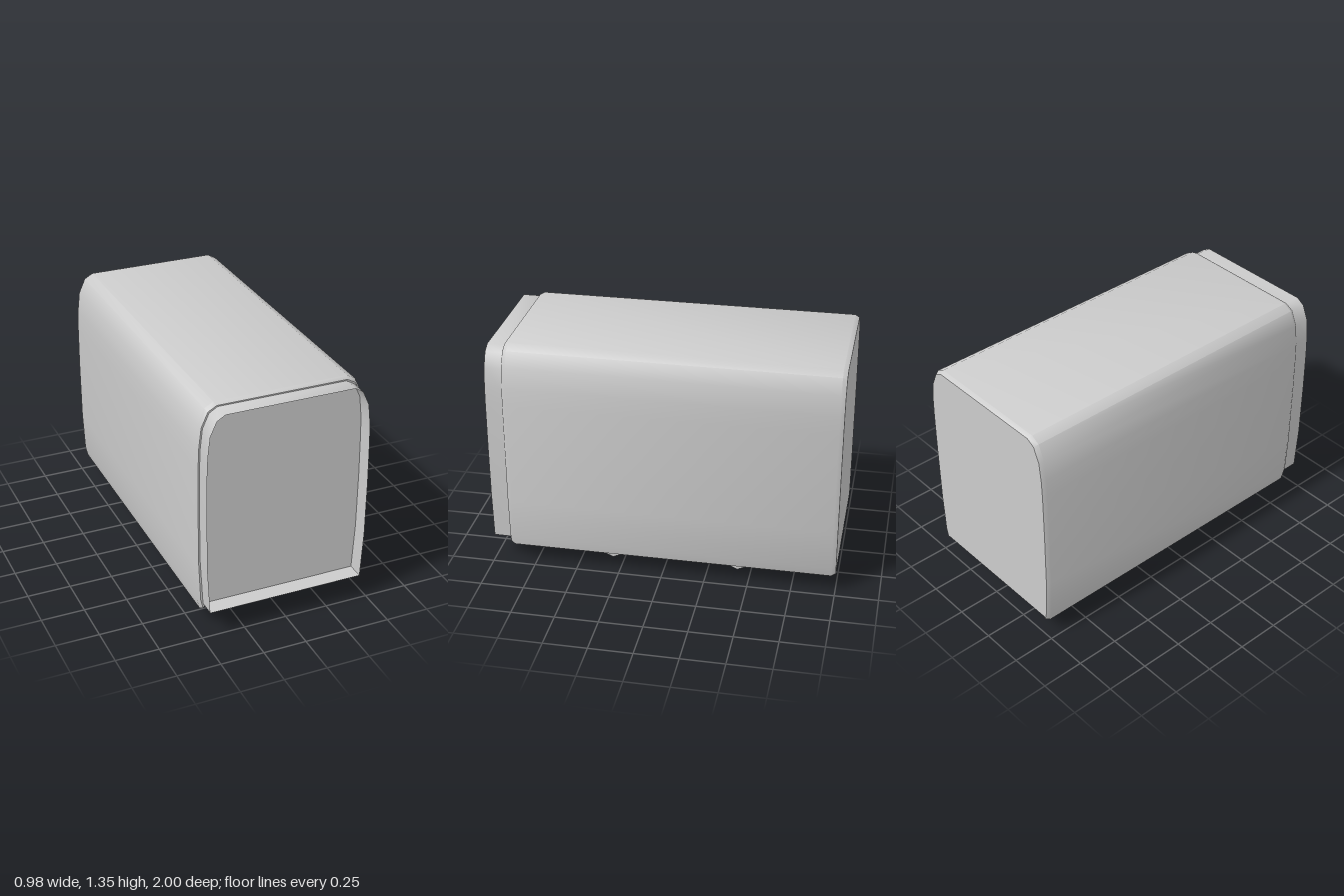
import * as THREE from 'three';
import { toCreasedNormals } from 'three/addons/utils/BufferGeometryUtils.js';

// Right half of the body cross-section, from bottom to roof
const HALF = [
  [0.453, 0.118], [0.464, 0.107], [0.478, 0.165], [0.489, 0.405], [0.491, 0.76],
  [0.489, 1.014], [0.485, 1.122], [0.471, 1.24], [0.432, 1.326], [0.382, 1.354],
];
// Right half of the gangway collar
const COLLAR = [
  [0.453, 0.15], [0.468, 0.42], [0.471, 0.75], [0.469, 1.0], [0.465, 1.11],
  [0.452, 1.225], [0.415, 1.307], [0.368, 1.335],
];

// Close a half section by mirroring it
const mirror = (half) => [...half, ...half.slice().reverse().map(([x, y]) => [-x, y])];

// Shrink a section towards its middle
const inset = (section, d) =>
  section.map(([x, y]) => [x * (1 - d / 0.491), 0.73 + (y - 0.73) * (1 - d / 0.624)]);

// Skin over closed sections running from back to front
function loft(sections, crease) {
  const pos = [];
  for (let s = 0; s < sections.length - 1; s++) {
    const a = sections[s], b = sections[s + 1], n = a.pts.length;
    for (let i = 0; i < n; i++) {
      const j = (i + 1) % n;
      const p = [...a.pts[i], a.z], q = [...a.pts[j], a.z];
      const r = [...b.pts[j], b.z], t = [...b.pts[i], b.z];
      pos.push(...p, ...q, ...r, ...p, ...r, ...t);
    }
  }
  const g = new THREE.BufferGeometry();
  g.setAttribute('position', new THREE.Float32BufferAttribute(pos, 3));
  return toCreasedNormals(g, crease);
}

const toShape = (pts) => new THREE.Shape(pts.map(([x, y]) => new THREE.Vector2(x, y)));

export function createModel() {
  const model = new THREE.Group();
  model.name = 'carriage';
  const grey = new THREE.MeshStandardMaterial({ color: 0xcccccc, side: THREE.DoubleSide });
  grey.name = 'light grey';

  const add = (geometry, name, parent = model) => {
    const mesh = new THREE.Mesh(geometry, grey);
    mesh.name = name;
    parent.add(mesh);
    return mesh;
  };

  // Long body with bevelled ends
  const outer = mirror(HALF);
  const inner = inset(outer, 0.012);
  add(loft([
    { pts: inner, z: -1 }, { pts: outer, z: -0.975 },
    { pts: outer, z: 0.875 }, { pts: inner, z: 0.9 },
  ], 0.65), 'bodyShell');

  // End walls
  add(new THREE.ShapeGeometry(toShape(inner)), 'frontWall').position.z = 0.9;
  const back = add(new THREE.ShapeGeometry(toShape(inner)), 'backWall');
  back.rotation.y = Math.PI;
  back.position.z = -1;

  // Open collar around the front wall
  const collar = mirror(COLLAR);
  add(loft([{ pts: collar, z: 0.9 }, { pts: collar, z: 1 }], 0.65), 'frontCollar');

  // Rails and half-sunk wheels
  const wheelShape = toShape([
    [-0.112, 0.12], [-0.112, 0.105], [-0.085, 0.04], [0, 0],
    [0.085, 0.04], [0.112, 0.105], [0.112, 0.12],
  ]);
  const wheel = toCreasedNormals(
    new THREE.ExtrudeGeometry(wheelShape, { depth: 0.04, bevelEnabled: false })
      .translate(0, 0, -0.02).rotateY(-Math.PI / 2), 0.9);
  for (const side of [-1, 1]) {
    const bogie = new THREE.Group();
    bogie.name = side > 0 ? 'leftRunningGear' : 'rightRunningGear';
    model.add(bogie);
    add(new THREE.BoxGeometry(0.08, 0.017, 0.964), 'rail', bogie)
      .position.set(side * 0.33, 0.1135, -0.05);
    for (const [z, name] of [[0.32, 'frontWheel'], [-0.42, 'rearWheel']]) {
      add(wheel, name, bogie).position.set(side * 0.31, 0, z);
    }
  }
  return model;
}
